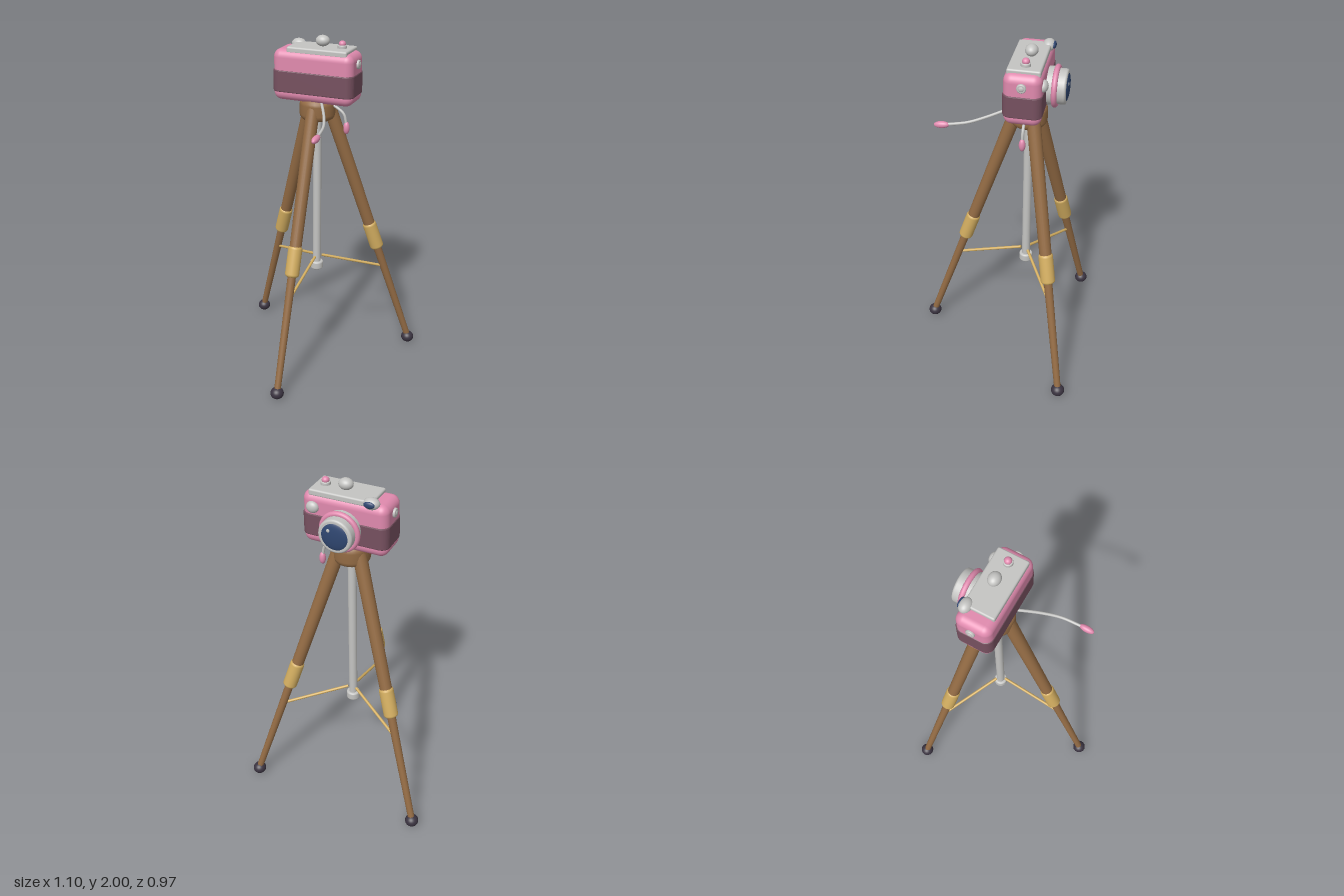
import * as THREE from 'three';
import { RoundedBoxGeometry } from 'three/addons/geometries/RoundedBoxGeometry.js';

const V = (x, y, z) => new THREE.Vector3(x, y, z);
const UP = V(0, 1, 0);

export function createModel() {
  const model = new THREE.Group();
  model.name = 'cameraOnTripod';

  const mat = (name, color) => {
    const m = new THREE.MeshStandardMaterial({ color });
    m.name = name;
    return m;
  };
  const pink = mat('pink', 0xe08aae);
  const mauve = mat('mauve leather', 0x76505f);
  const silver = mat('silver', 0xc4c4c2);
  const wood = mat('wood', 0x936b44);
  const gold = mat('gold', 0xd2ad60);
  const rubber = mat('dark rubber', 0x3a3340);
  const glass = mat('blue glass', 0x2f4670);

  const add = (parent, name, geometry, material, pos = V(0, 0, 0)) => {
    const mesh = new THREE.Mesh(geometry, material);
    mesh.name = name;
    mesh.position.copy(pos);
    parent.add(mesh);
    return mesh;
  };
  const ball = (parent, name, material, pos, rx, ry, rz) => {
    const mesh = add(parent, name, new THREE.SphereGeometry(1, 28, 18), material, pos);
    mesh.scale.set(rx, ry, rz);
    return mesh;
  };
  // Tapered rod between two points
  const rod = (parent, name, material, a, b, ra, rb) => {
    const dir = b.clone().sub(a);
    const mesh = add(parent, name, new THREE.CylinderGeometry(rb, ra, dir.length(), 20), material,
      a.clone().add(b).multiplyScalar(0.5));
    mesh.quaternion.setFromUnitVectors(UP, dir.normalize());
    return mesh;
  };
  // Upright cylinder with softened rims, centred on its origin
  const softCylinder = (r, h, bevel) => {
    const pts = [new THREE.Vector2(0, -h / 2)];
    for (const side of [-1, 1]) {
      for (let i = 0; i <= 4; i++) {
        const t = (side < 0 ? i - 4 : i) / 4 * Math.PI / 2;
        pts.push(new THREE.Vector2(r - bevel + bevel * Math.cos(t), side * (h / 2 - bevel) + bevel * Math.sin(t)));
      }
    }
    pts.push(new THREE.Vector2(0, h / 2));
    return new THREE.LatheGeometry(pts, 28);
  };

  // Tripod, built around its own centre axis
  const tripod = new THREE.Group();
  tripod.name = 'tripod';
  tripod.position.z = -0.148;
  model.add(tripod);

  const onLeg = (y) => V(0, y, 0.593 - (y - 0.04) * 0.338);
  for (let i = 0; i < 3; i++) {
    const leg = new THREE.Group();
    leg.name = 'leg' + (i + 1);
    leg.rotation.y = i * Math.PI * 2 / 3;
    tripod.add(leg);
    rod(leg, 'upperLeg', wood, onLeg(0.8), onLeg(1.61), 0.034, 0.038);
    rod(leg, 'lowerLeg', wood, onLeg(0.04), onLeg(0.8), 0.019, 0.025);
    const collar = add(leg, 'legCollar', softCylinder(0.041, 0.182, 0.018), gold, onLeg(0.775));
    collar.quaternion.setFromUnitVectors(UP, onLeg(1).sub(onLeg(0)).normalize());
    ball(leg, 'foot', rubber, V(0, 0.035, 0.593), 0.039, 0.035, 0.039);
    rod(leg, 'brace', gold, V(0, 0.658, 0.03), onLeg(0.558), 0.008, 0.008);
  }
  add(tripod, 'hub', softCylinder(0.102, 0.125, 0.035), wood, V(0, 1.588, 0));
  rod(tripod, 'centreColumn', silver, V(0, 0.6, 0), V(0, 1.58, 0), 0.024, 0.024);
  add(tripod, 'columnCap', softCylinder(0.039, 0.05, 0.01), silver, V(0, 0.598, 0));

  // Camera body, facing -z
  const camera = new THREE.Group();
  camera.name = 'camera';
  model.add(camera);
  add(camera, 'body', new RoundedBoxGeometry(0.472, 0.288, 0.2, 6, 0.045), pink, V(0, 1.779, -0.148));

  // Leather band wrapped round the body
  const w = 0.24, d = 0.104, r = 0.045;
  const outline = new THREE.Shape();
  outline.absarc(w - r, d - r, r, 0, Math.PI / 2);
  outline.absarc(r - w, d - r, r, Math.PI / 2, Math.PI);
  outline.absarc(r - w, r - d, r, Math.PI, Math.PI * 1.5);
  outline.absarc(w - r, r - d, r, Math.PI * 1.5, Math.PI * 2);
  const band = new THREE.ExtrudeGeometry(outline, {
    depth: 0.112, curveSegments: 8, bevelThickness: 0.006, bevelSize: 0.006, bevelOffset: -0.006, bevelSegments: 2,
  });
  band.rotateX(-Math.PI / 2);
  add(camera, 'leatherBand', band, mauve, V(0, 1.691, -0.148));

  // Top plate and its controls
  add(camera, 'topPlate', new RoundedBoxGeometry(0.353, 0.036, 0.176, 3, 0.01), silver, V(0.023, 1.922, -0.15));
  ball(camera, 'topKnob', silver, V(0.024, 1.969, -0.16), 0.04, 0.031, 0.034);
  add(camera, 'shutterCollar', softCylinder(0.026, 0.03, 0.005), silver, V(0.142, 1.942, -0.152));
  ball(camera, 'shutterButton', pink, V(0.142, 1.963, -0.152), 0.02, 0.018, 0.02);
  ball(camera, 'viewfinder', silver, V(-0.145, 1.925, -0.223), 0.044, 0.032, 0.034);
  ball(camera, 'viewfinderGlass', glass, V(-0.143, 1.928, -0.251), 0.03, 0.018, 0.011);
  ball(camera, 'flash', silver, V(0.17, 1.85, -0.25), 0.035, 0.032, 0.024);

  // Strap studs on both sides
  for (const s of [-1, 1]) {
    const ring = add(camera, 'strapStud', softCylinder(0.025, 0.02, 0.006), silver, V(s * 0.238, 1.86, -0.148));
    ring.rotation.z = Math.PI / 2;
    ball(camera, 'strapStudCentre', silver, V(s * 0.246, 1.86, -0.148), 0.006, 0.014, 0.014);
  }

  // Lens
  const lens = new THREE.Group();
  lens.name = 'lens';
  lens.position.set(0, 1.767, 0);
  camera.add(lens);
  const barrelBase = add(lens, 'lensBase', softCylinder(0.101, 0.07, 0.006), silver, V(0, 0, -0.265));
  const barrel = add(lens, 'lensBarrel', softCylinder(0.094, 0.07, 0.012), silver, V(0, 0, -0.315));
  barrelBase.rotation.x = barrel.rotation.x = Math.PI / 2;
  add(lens, 'lensRing', new THREE.TorusGeometry(0.099, 0.015, 14, 48), pink, V(0, 0, -0.291));
  ball(lens, 'lensGlass', glass, V(0, 0, -0.345), 0.077, 0.077, 0.016);
  ball(lens, 'lensGlint', silver, V(0.03, 0.032, -0.356), 0.011, 0.011, 0.004);

  // Release cables with pink grips
  const cable = (name, points) => add(camera, name,
    new THREE.TubeGeometry(new THREE.CatmullRomCurve3(points), 40, 0.008, 10), silver);
  cable('longCable', [V(0.045, 1.645, -0.09), V(0.075, 1.632, -0.035), V(0.121, 1.607, 0.055),
    V(0.157, 1.583, 0.15), V(0.171, 1.565, 0.26)]);
  const grip = ball(camera, 'longCableGrip', pink, V(0.172, 1.561, 0.29), 0.018, 0.019, 0.043);
  grip.rotation.x = 0.1;
  cable('shortCable', [V(0.05, 1.635, -0.146), V(0.11, 1.608, -0.146), V(0.16, 1.57, -0.146), V(0.176, 1.51, -0.146)]);
  ball(camera, 'shortCableGrip', pink, V(0.177, 1.492, -0.146), 0.018, 0.036, 0.018);

  return model;
}
